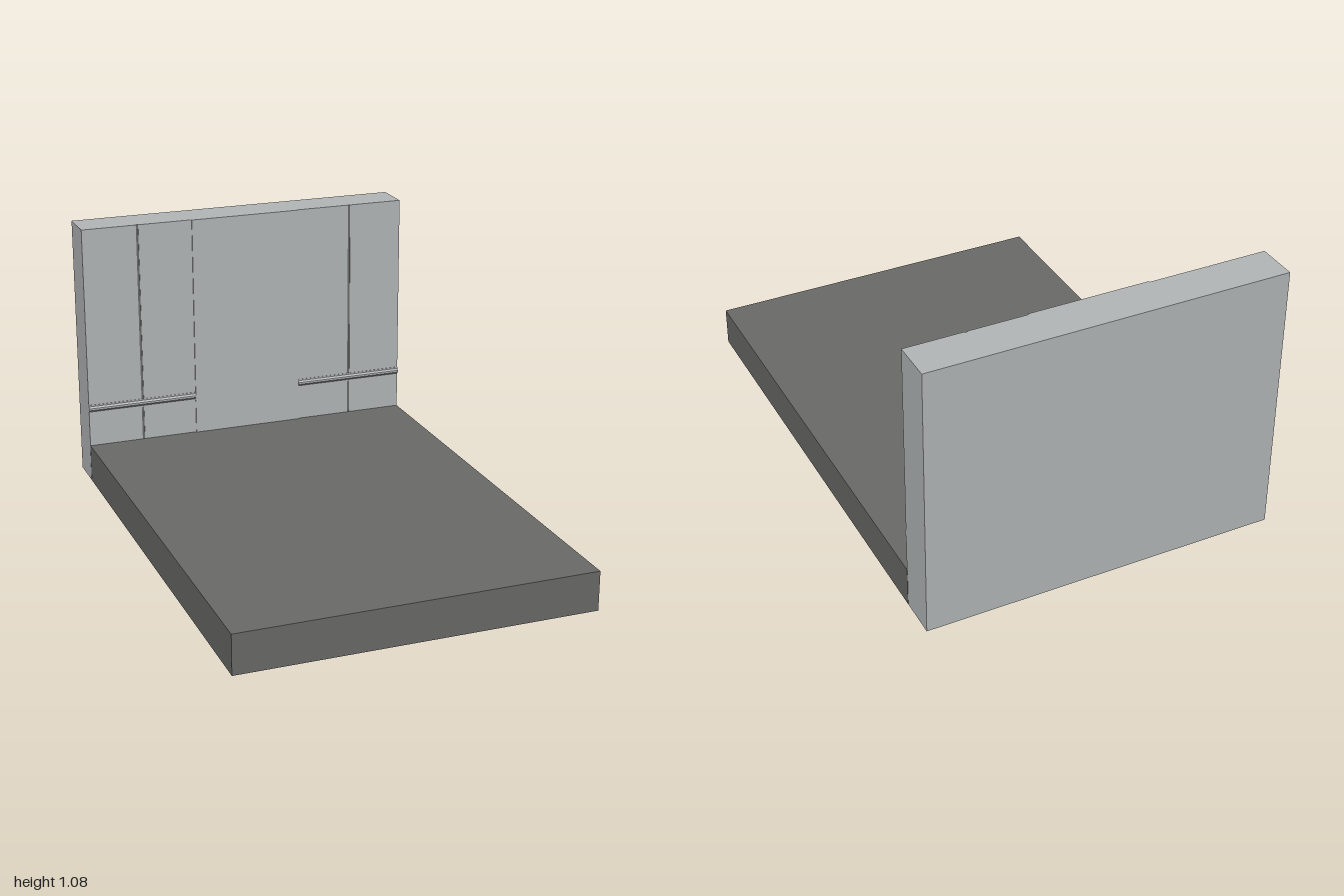
import * as THREE from 'three';

const HALF = 0.69;      // half width of the set
const FLOOR = 0.155;    // floor thickness
const TOP = 1.077;      // wall height
const BACK = -0.846;    // front face of the wall core

export function createModel() {
  const group = new THREE.Group();
  const wallGrey = new THREE.MeshStandardMaterial({ color: 0xb4b8b9 });
  wallGrey.name = 'light wall grey';
  const floorGrey = new THREE.MeshStandardMaterial({ color: 0x6a6a68 });
  floorGrey.name = 'dark floor grey';

  // box given by its minimum and maximum corners
  const box = (name, material, [x0, y0, z0], [x1, y1, z1]) => {
    const mesh = new THREE.Mesh(new THREE.BoxGeometry(x1 - x0, y1 - y0, z1 - z0), material);
    mesh.position.set((x0 + x1) / 2, (y0 + y1) / 2, (z0 + z1) / 2);
    mesh.name = name;
    group.add(mesh);
  };

  box('floor', floorGrey, [-HALF, 0, -0.843], [HALF, FLOOR, 1]);
  box('wall', wallGrey, [-HALF, 0, -1], [HALF, TOP, BACK]);
  box('centrePanel', wallGrey, [-0.23, FLOOR, BACK], [0.23, TOP, -0.837]);

  // moulding profile: x is depth in front of the wall, y is height
  const profile = new THREE.Shape([
    [0, 0.298], [0.006, 0.298], [0.006, 0.304], [0.009, 0.308], [0.013, 0.312],
    [0.013, 0.32], [0.009, 0.325], [0.006, 0.327], [0.006, 0.333], [0, 0.333],
  ].map(([x, y]) => new THREE.Vector2(x, y)));
  const railGeometry = new THREE.ExtrudeGeometry(profile, { depth: HALF - 0.23, bevelEnabled: false });
  railGeometry.rotateY(-Math.PI / 2); // depth runs to -x, profile faces +z

  for (const side of [-1, 1]) {
    const label = side > 0 ? 'left' : 'right';
    // two thin panels on each side, with a narrow groove between them
    for (const [part, a, b] of [['InnerPanel', 0.23, 0.455], ['OuterPanel', 0.465, HALF]]) {
      const [x0, x1] = side > 0 ? [a, b] : [-b, -a];
      box(label + part, wallGrey, [x0, FLOOR, BACK], [x1, TOP, -0.842]);
    }
    box(label + 'Groove', floorGrey,
      [side * 0.46 - 0.005, FLOOR, BACK], [side * 0.46 + 0.005, TOP, BACK + 0.001]);

    // moulded rail across both panels
    const rail = new THREE.Mesh(railGeometry, wallGrey);
    rail.position.set(side > 0 ? HALF : -0.23, 0, BACK);
    rail.name = label + 'Rail';
    group.add(rail);
  }
  return group;
}
